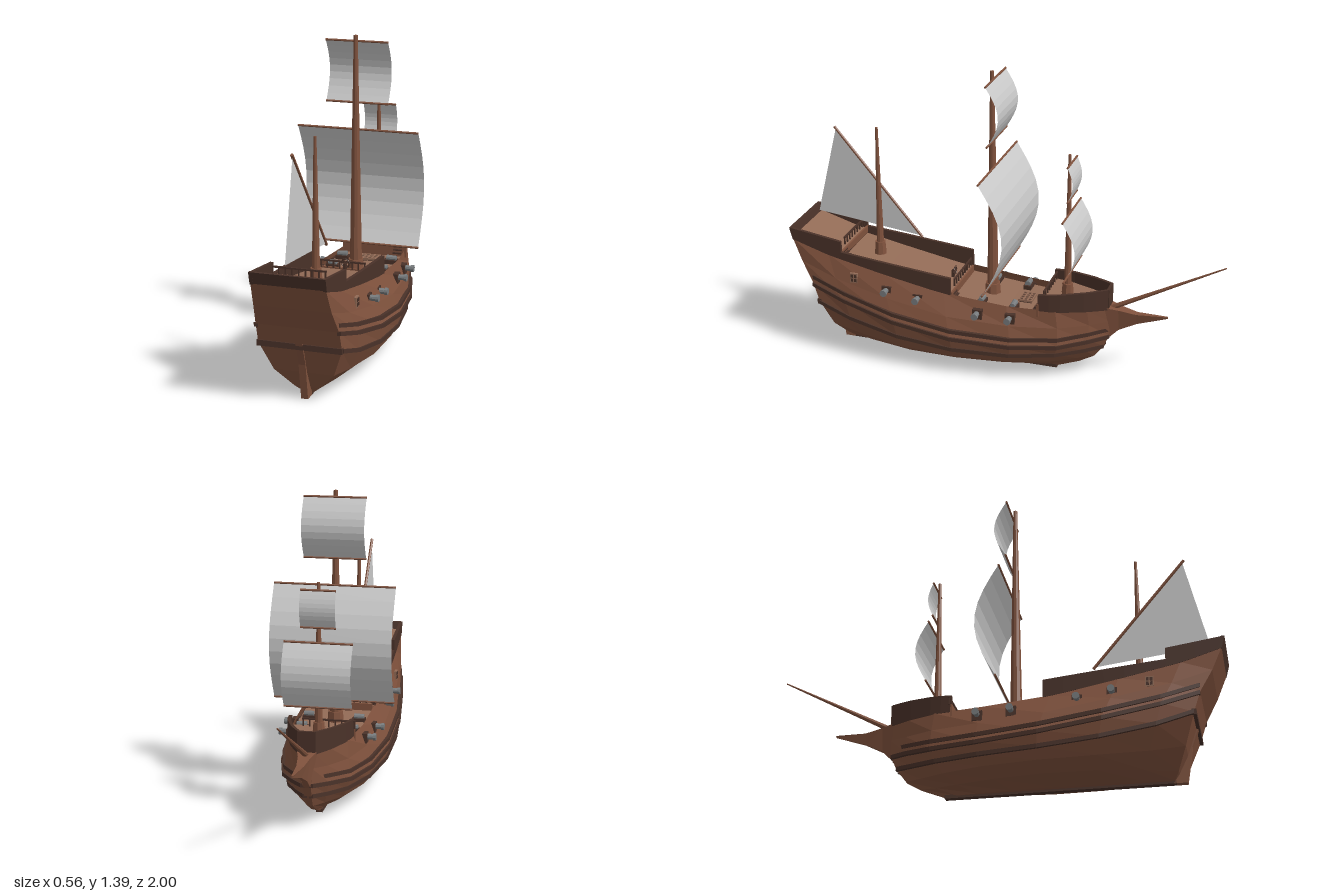
import * as THREE from 'three';

const mat = (color) => new THREE.MeshStandardMaterial({ color, flatShading: true, side: THREE.DoubleSide });
const WOOD = mat(0x80523d), DARK = mat(0x4a3229), DECK = mat(0x926b56), IRON = mat(0x777b7d), SAIL = mat(0xcccccc);

// Waterlines from keel to deck edge: stern z, bow z, then height and half-width at each station
const U = [0, 0.12, 0.3, 0.5, 0.7, 0.85, 0.94, 1];
const LINES = [
  { zs: 0.75, zb: -0.25, y: [.01, .01, .01, .01, .01, .01, .01, .01], w: [.02, .03, .04, .04, .035, .025, .015, .006] },
  { zs: 0.77, zb: -0.35, y: [.04, .04, .04, .04, .04, .04, .045, .05], w: [.055, .09, .13, .135, .11, .07, .03, .01] },
  { zs: 0.81, zb: -0.42, y: [.12, .1, .085, .08, .08, .08, .085, .09], w: [.13, .155, .19, .195, .165, .11, .05, .012] },
  { zs: 0.855, zb: -0.465, y: [.25, .2, .155, .13, .125, .13, .14, .15], w: [.18, .2, .222, .222, .19, .13, .065, .015] },
  { zs: 0.885, zb: -0.49, y: [.34, .29, .235, .195, .18, .185, .2, .21], w: [.178, .205, .235, .237, .205, .15, .08, .02] },
  { zs: 0.94, zb: -0.495, y: [.44, .385, .33, .285, .27, .27, .275, .285], w: [.165, .185, .205, .21, .185, .14, .075, .025] },
  { zs: 0.985, zb: -0.49, y: [.545, .49, .435, .38, .355, .35, .35, .35], w: [.158, .16, .165, .165, .158, .135, .085, .035] },
];
const lerp = THREE.MathUtils.lerp;

// Width and height of a waterline at a given z
function at(line, z) {
  const u = THREE.MathUtils.clamp((line.zs - z) / (line.zs - line.zb), 0, 1);
  let i = 0;
  while (i < U.length - 2 && u > U[i + 1]) i++;
  const t = (u - U[i]) / (U[i + 1] - U[i]);
  return { y: lerp(line.y[i], line.y[i + 1], t), w: lerp(line.w[i], line.w[i + 1], t) };
}
const TOP = LINES[6];

// Surface through rows of points
function grid(rows) {
  const n = rows[0].length, index = [];
  for (let i = 0; i < rows.length - 1; i++) for (let j = 0; j < n - 1; j++) {
    const a = i * n + j, b = a + n;
    index.push(a, b, a + 1, a + 1, b, b + 1);
  }
  const g = new THREE.BufferGeometry();
  g.setAttribute('position', new THREE.Float32BufferAttribute(rows.flat(2), 3));
  g.setIndex(index);
  const flat = g.toNonIndexed();
  flat.computeVertexNormals();
  return flat;
}

// Closes both ends of a loft by collapsing an extra row to its centre
function capped(rows) {
  const cap = (r) => {
    const c = [0, 1, 2].map((k) => r.slice(0, -1).reduce((s, p) => s + p[k], 0) / (r.length - 1));
    return r.map(() => c);
  };
  return grid([cap(rows[0]), ...rows, cap(rows[rows.length - 1])]);
}

function add(parent, name, geo, material, x = 0, y = 0, z = 0) {
  const m = new THREE.Mesh(geo, material);
  m.name = name;
  m.position.set(x, y, z);
  parent.add(m);
  return m;
}
const box = (p, name, m, w, h, d, x, y, z) => add(p, name, new THREE.BoxGeometry(w, h, d), m, x, y, z);

// Tapered round spar between two points
function spar(parent, name, a, b, r0, r1, material = WOOD, sides = 8) {
  const A = new THREE.Vector3(...a), B = new THREE.Vector3(...b), d = B.clone().sub(A);
  const m = add(parent, name, new THREE.CylinderGeometry(r1, r0, d.length(), sides), material);
  m.position.copy(A).add(B).multiplyScalar(0.5);
  m.quaternion.setFromUnitVectors(new THREE.Vector3(0, 1, 0), d.normalize());
  return m;
}

const span = (a, b, n) => Array.from({ length: n + 1 }, (_, i) => lerp(a, b, i / n));

function buildHull(g) {
  // Planked shell with its transom and stem
  const rows = U.map((u, i) => {
    const side = (s) => LINES.map((l) => [s * l.w[i], l.y[i], lerp(l.zs, l.zb, u)]);
    return [...side(-1).reverse(), ...side(1)];
  });
  add(g, 'hull', grid(rows), WOOD);
  for (const [i, name] of [[0, 'transom'], [U.length - 1, 'stem']])
    add(g, name, grid(LINES.map((l) => [-1, 1].map((s) => [s * l.w[i], l.y[i], i ? l.zb : l.zs]))), WOOD);
  box(g, 'keel', DARK, 0.03, 0.016, 1.0, 0, 0.008, 0.255);

  // Dark wales along both sides
  for (const s of [-1, 1]) for (const [k, dy] of [[3, 0], [4, -0.005], [4, 0.03]]) {
    const l = LINES[k];
    add(g, 'wale', capped(U.map((u, i) => {
      const z = lerp(l.zs, l.zb, u), w = l.w[i] - (dy > 0 ? 0.006 : 0), y = l.y[i] + dy;
      return [[-.01, -.009], [.008, -.009], [.008, .009], [-.01, .009], [-.01, -.009]].map(([dx, d]) => [s * (w + dx), y + d, z]);
    })), DARK);
  }
  box(g, 'transomBand', DARK, 0.366, 0.025, 0.02, 0, 0.25, 0.855);

  // Raised bulwarks
  for (const s of [-1, 1]) for (const [z0, z1, y0, y1] of [[1, .745, .597, .56], [.745, .215, .508, .455], [-.19, -.485, .425, .445]])
    add(g, 'bulwark', capped(span(z0, z1, 6).map((z, i) => {
      const { w, y } = at(TOP, z), t = lerp(y0, y1, i / 6), zb = Math.min(z, 0.985);
      return [[s * (w + .003), y - .004, zb], [s * (w + .003), t, z], [s * (w - .012), t, z], [s * (w - .012), y - .004, zb], [s * (w + .003), y - .004, zb]];
    })), DARK);
  add(g, 'sternBulwark', grid([[.545, .985], [.597, 1], [.597, .985], [.545, .97]].map(([y, z]) => [[-.16, y, z], [.16, y, z]])), DARK);
  box(g, 'bowBulwark', DARK, 0.075, 0.1, 0.012, 0, 0.395, -0.483);

  // Decks with bulkheads at the steps
  const deck = (name, z0, z1, dy) => add(g, name, grid(span(z0, z1, 8).map((z) => {
    const { w, y } = at(TOP, z);
    return [[-w + .004, y + dy, z], [w - .004, y + dy, z]];
  })), DECK);
  deck('poopDeck', 0.98, 0.745, 0.02);
  deck('quarterDeck', 0.745, 0.215, -0.005);
  deck('mainDeck', 0.215, -0.19, -0.03);
  deck('forecastleDeck', -0.19, -0.485, 0.03);
  for (const [z, y0, y1] of [[.745, .48, .51], [.215, .34, .38], [-.19, .32, .381]])
    box(g, 'bulkhead', WOOD, 0.305, y1 - y0, 0.008, 0, (y0 + y1) / 2, z);

  // Balustrades and ladders at each step
  for (const [z, y, dir] of [[.76, .512, -1], [.225, .378, -1], [-.2, .381, 1]]) {
    box(g, 'handRail', DARK, 0.24, 0.007, 0.008, -0.035, y + 0.034, z);
    for (const x of span(-.15, .08, 8)) box(g, 'baluster', DARK, 0.006, 0.034, 0.006, x, y + 0.017, z);
    for (let i = 0; i < 3; i++) box(g, 'ladderStep', DARK, 0.04, 0.006, 0.012, 0.115, y - 0.012 - i * 0.013, z + dir * (0.014 + i * 0.009));
  }
}

function buildFittings(g) {
  // Beakhead under the bowsprit
  add(g, 'beakhead', capped([[-.46, .36, .17, .05], [-.53, .345, .24, .028], [-.61, .33, .28, .016], [-.75, .334, .326, .004]].map(([z, t, b, w]) =>
    [[-w, t, z], [w, t, z], [w * .4, b, z], [-w * .4, b, z], [-w, t, z]])), WOOD);
  spar(g, 'bowsprit', [0, 0.325, -0.46], [0, 0.61, -0.997], 0.013, 0.003);

  // Rudder, cut as a side profile
  const shape = new THREE.Shape([[.87, .268], [.83, .16], [.803, 0], [.745, 0], [.77, .1], [.83, .25]].map(([z, y]) => new THREE.Vector2(-z, y)));
  const rudder = add(g, 'rudder', new THREE.ExtrudeGeometry(shape, { depth: 0.03, bevelEnabled: false }), WOOD, -0.015);
  rudder.rotation.y = Math.PI / 2;

  // Guns and ports, mirrored
  for (const s of [-1, 1]) {
    for (const [z, y, x] of [[.515, .36, .195], [.365, .34, .19], [.08, .31, .195], [-.07, .305, .185]]) {
      box(g, 'gunPort', DARK, 0.03, 0.045, 0.045, s * (x - 0.015), y, z);
      spar(g, 'cannonBarrel', [s * (x - 0.08), y + .005, z], [s * (x + 0.03), y + .005, z], 0.016, 0.012, IRON, 10);
      spar(g, 'cannonMuzzle', [s * (x + 0.025), y + .005, z], [s * (x + 0.038), y + .005, z], 0.016, 0.016, IRON, 10);
      if (z < 0.2) {
        spar(g, 'cannonBreech', [s * 0.095, y + .045, z], [s * 0.14, y + .045, z], 0.014, 0.012, IRON, 10);
        box(g, 'gunCarriage', DARK, 0.06, 0.022, 0.036, s * 0.115, y + 0.028, z);
      }
    }
    // Cabin window with glazing bars
    box(g, 'windowFrame', DECK, 0.012, 0.046, 0.036, s * 0.184, 0.4, 0.675);
    for (const dy of [-.01, .01]) for (const dz of [-.008, .008])
      box(g, 'windowPane', DARK, 0.014, 0.015, 0.011, s * 0.185, 0.4 + dy, 0.675 + dz);
  }

  // Hatch grating
  box(g, 'hatch', DARK, 0.085, 0.008, 0.06, 0, 0.33, -0.1);
  for (const x of span(-.04, .04, 4)) box(g, 'gratingBar', DECK, 0.006, 0.01, 0.065, x, 0.334, -0.1);
  for (const z of span(-.13, -.07, 3)) box(g, 'gratingBar', DECK, 0.085, 0.01, 0.006, 0, 0.334, z);

  // Steering wheel
  box(g, 'wheelPost', DARK, 0.012, 0.035, 0.012, 0, 0.4, 0.26);
  add(g, 'wheel', new THREE.TorusGeometry(0.018, 0.003, 4, 12), DARK, 0, 0.415, 0.25);
  for (let i = 0; i < 3; i++) box(g, 'wheelSpoke', DARK, 0.05, 0.003, 0.003, 0, 0.415, 0.25).rotation.z = i * Math.PI / 3;
}

// Square sail bellied forward, with a yard at head and foot
function squareSail(g, name, half, yTop, zTop, yLow, zLow, belly) {
  add(g, name, grid(span(0, 1, 9).map((t) => {
    const z = lerp(zTop, zLow, t) - belly * Math.sin(Math.PI * t);
    return [[-half, lerp(yTop, yLow, t), z], [half, lerp(yTop, yLow, t), z]];
  })), SAIL);
  for (const [y, z] of [[yTop, zTop], [yLow, zLow]]) spar(g, 'yard', [-half, y, z], [half, y, z], 0.005, 0.005, WOOD, 6);
}

function buildRig(g) {
  for (const [name, z, y0, y1, r0, r1] of [['mainMast', .07, .32, 1.393, .028, .009], ['foreMast', -.285, .37, 1.048, .018, .007], ['mizzenMast', .62, .45, 1.07, .018, .006]]) {
    spar(g, name, [0, y0, z], [0, y1, z], r0, r1, WOOD, 10);
    spar(g, 'mastCollar', [0, y0, z], [0, y0 + 0.06, z], r0 + .011, r0 + .006, WOOD, 8);
  }
  squareSail(g, 'mainSail', 0.278, 0.97, 0.045, 0.443, 0.03, 0.1);
  squareSail(g, 'mainTopsail', 0.142, 1.365, 0.055, 1.092, 0.05, 0.055);
  squareSail(g, 'foreSail', 0.152, 0.785, -0.297, 0.5, -0.305, 0.054);
  squareSail(g, 'foreTopsail', 0.078, 1.015, -0.296, 0.852, -0.298, 0.023);

  // Triangular sail on its slanted yard
  const a = [-.022, 1.035, .83], b = [-.022, .555, .425], c = [-.022, .615, .932];
  add(g, 'lateenSail', grid([[a, b], [c, c]]), SAIL);
  spar(g, 'lateenYard', [-.022, 1.043, .837], [-.022, .548, .419], 0.007, 0.007, WOOD, 6);
}

export function createModel() {
  const ship = new THREE.Group();
  ship.name = 'sailingShip';
  const parts = [['hullGroup', buildHull, 0.009], ['fittings', buildFittings, 0.009], ['rig', buildRig, 0]];
  for (const [name, build, x] of parts) {
    const g = new THREE.Group();
    g.name = name;
    g.position.x = x;
    build(g);
    ship.add(g);
  }
  return ship;
}
